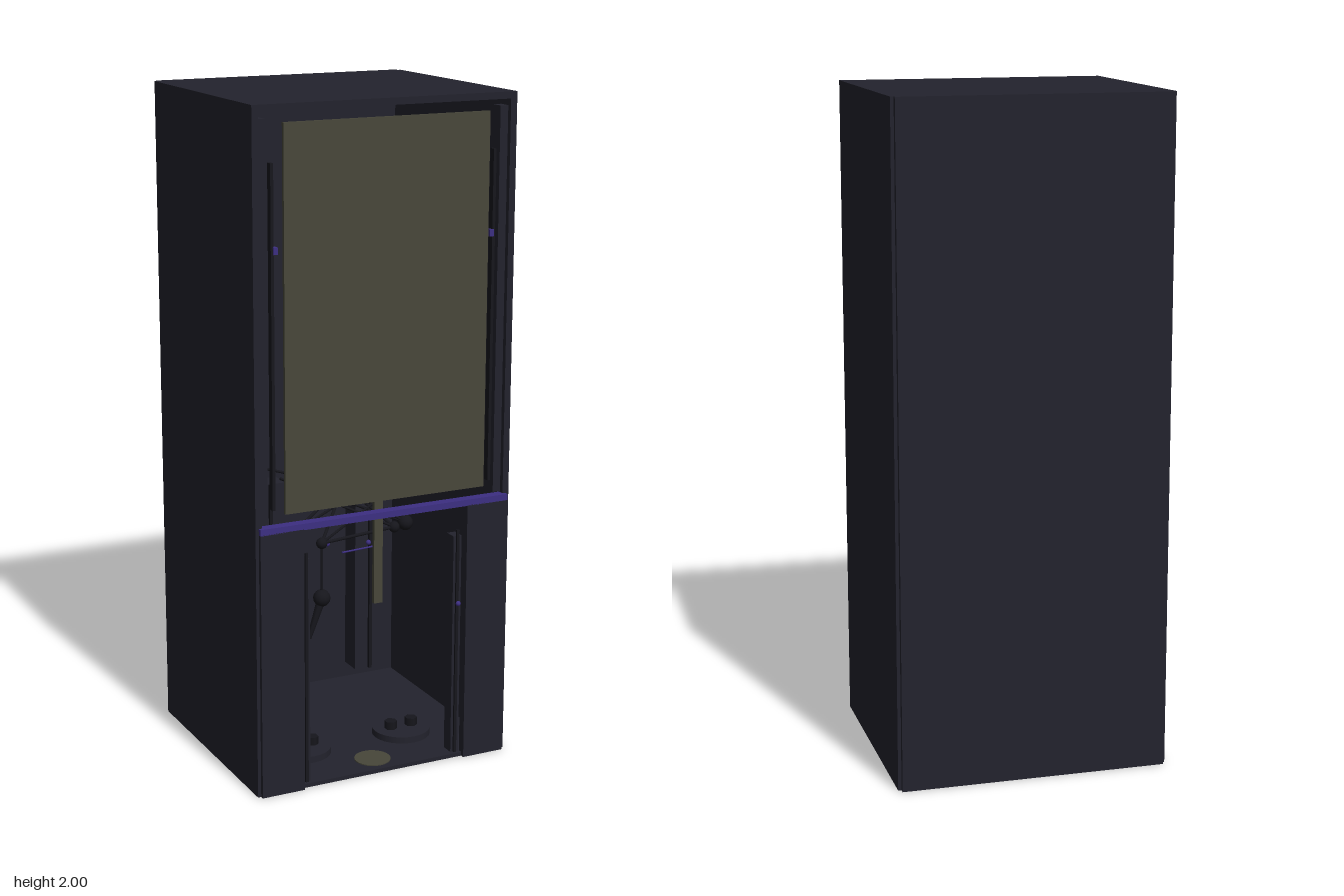
import * as THREE from 'three';

const mat = (name, color) => Object.assign(new THREE.MeshStandardMaterial({ color }), { name });

export function createModel() {
  const root = new THREE.Group();
  root.name = 'cabinet';
  const dark = mat('dark slate', 0x23232d);
  const black = mat('near black', 0x16161c);
  const olive = mat('olive glass', 0x48473a);
  const purple = mat('purple trim', 0x3d2f82);

  const add = (name, geo, m, x, y, z, parent = root) => {
    const mesh = new THREE.Mesh(geo, m);
    mesh.name = name;
    mesh.position.set(x, y, z);
    parent.add(mesh);
    return mesh;
  };
  // Box given by its min and max corners
  const box = (name, m, x0, x1, y0, y1, z0, z1) =>
    add(name, new THREE.BoxGeometry(x1 - x0, y1 - y0, z1 - z0), m, (x0 + x1) / 2, (y0 + y1) / 2, (z0 + z1) / 2);
  // Cylinder between two points
  const rod = (name, m, a, b, r0, r1 = r0) => {
    const p = new THREE.Vector3(...a), q = new THREE.Vector3(...b);
    const d = q.clone().sub(p);
    const mesh = add(name, new THREE.CylinderGeometry(r1, r0, d.length(), 8), m, 0, 0, 0);
    mesh.position.copy(p).add(q).multiplyScalar(0.5);
    mesh.quaternion.setFromUnitVectors(new THREE.Vector3(0, 1, 0), d.normalize());
    return mesh;
  };
  const ball = (name, m, p, r) => add(name, new THREE.SphereGeometry(r, 12, 8), m, ...p);

  // Shell, open at the front
  box('roof', dark, -0.41, 0.41, 1.98, 2, -0.355, 0.355);
  box('floor', dark, -0.39, 0.39, 0, 0.012, -0.355, 0.355);
  box('backPanel', dark, -0.4, 0.4, 0, 2, -0.37, -0.35);

  for (const s of [-1, 1]) {
    const span = (name, m, a, b, ...rest) => box(name, m, Math.min(s * a, s * b), Math.max(s * a, s * b), ...rest);
    span('sideWall', dark, 0.39, 0.41, 0, 1.98, -0.355, 0.355);
    span('lowerFrontPanel', dark, 0.265, 0.4, 0, 0.8, 0.34, 0.367);
    // Rails beside the screen
    span('sideRail', dark, 0.365, 0.39, 0.82, 1.96, 0.3, 0.34);
    span('sideSlot', black, 0.343, 0.352, 0.86, 1.84, 0.325, 0.345);
    span('railClip', purple, 0.333, 0.346, 1.59, 1.61, 0.33, 0.35);
    // Ribbed posts flanking the opening
    span('frontPost', dark, 0.235, 0.262, 0.012, 0.7, 0.3, 0.34);
    span('postRib', black, 0.243, 0.252, 0.012, 0.72, 0.34, 0.346);
    // Hanging columns at the back
    span('backColumn', dark, 0.12, 0.225, 0.15, 0.8, -0.15, -0.08);
    span('columnRib', black, 0.165, 0.175, 0.15, 0.8, -0.08, -0.07);
    // Round base plates with blocks
    add('basePlate', new THREE.CylinderGeometry(0.09, 0.09, 0.02, 24), dark, s * 0.17, 0.022, 0.14);
    for (const dx of [-0.035, 0.035])
      add('plateBlock', new THREE.CylinderGeometry(0.02, 0.02, 0.025, 6), black, s * 0.17 + dx, 0.044, 0.14);
  }

  // Trim strip and screen on the front
  box('trimStrip', purple, -0.4, 0.4, 0.798, 0.817, 0.335, 0.367);
  box('screen', olive, -0.32, 0.32, 0.85, 1.95, 0.352, 0.362);
  box('hangingBar', olive, -0.014, 0.014, 0.52, 0.86, 0.3, 0.312);
  add('floorDisc', new THREE.CylinderGeometry(0.055, 0.055, 0.016, 24), olive, 0, 0.007, 0.28);

  // Jointed rods in the middle of the cabinet
  const joints = [
    [-0.18, 0.71, 0.12], [-0.13, 0.69, 0.2], [0.12, 0.7, 0.18], [0.2, 0.68, 0.1],
    [-0.1, 0.77, -0.05], [0.1, 0.77, -0.02],
  ];
  const hub = [0, 0.82, 0.08];
  joints.forEach((p, i) => {
    ball('joint', black, p, i % 3 === 0 ? 0.024 : 0.017);
    rod('linkRod', black, p, hub, 0.005);
    rod('braceRod', black, p, [p[0] > 0 ? -0.2 : 0.2, 0.86, p[2] - 0.04], 0.004);
  });
  rod('crossRod', black, joints[1], joints[2], 0.005);
  rod('cord', black, joints[1], [-0.13, 0.52, 0.2], 0.004);
  ball('pendantBall', black, [-0.13, 0.52, 0.2], 0.026);
  rod('pendantTip', black, [-0.13, 0.52, 0.2], [-0.172, 0.4, 0.2], 0.014, 0.007);

  // Small purple fittings
  rod('purpleRod', purple, [0.01, 0.595, 0.05], [0.12, 0.6, 0.05], 0.003);
  for (const p of [[0.1, 0.615, 0.05], [-0.04, 0.63, 0.05], [0.25, 0.49, 0.347]]) ball('purpleStud', purple, p, 0.008);

  return root;
}
